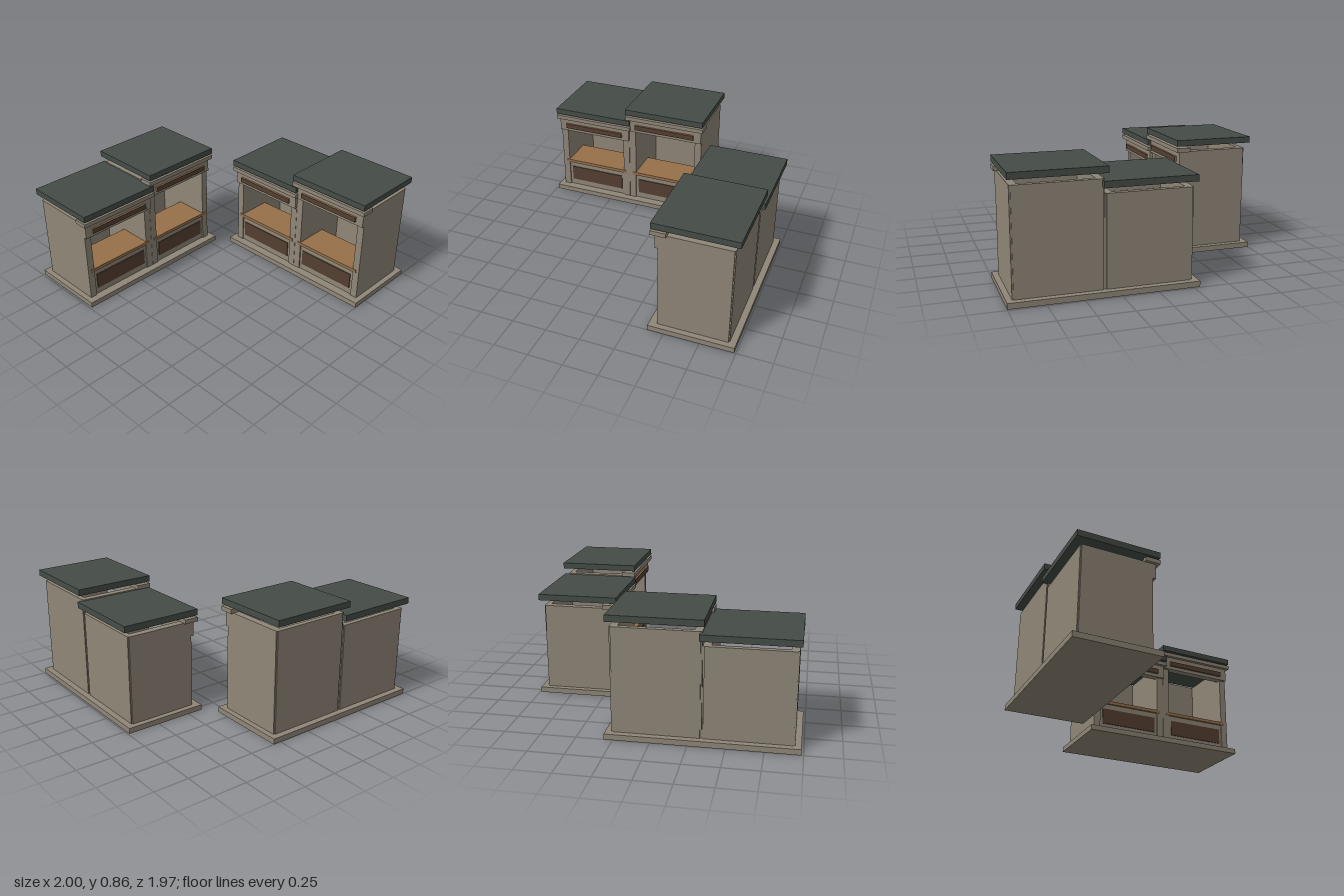
import * as THREE from 'three';

const mat = (name, color) => new THREE.MeshStandardMaterial({ name, color });

export function createModel() {
  const stone = mat('stone', 0x8f8677);
  const slate = mat('slate', 0x454c47);
  const brown = mat('darkBrown', 0x553f32);
  const wood = mat('wood', 0x96704a);

  // Box given by its limits on each axis
  function box(parent, name, material, [x0, x1], [y0, y1], [z0, z1]) {
    const mesh = new THREE.Mesh(new THREE.BoxGeometry(x1 - x0, y1 - y0, z1 - z0), material);
    mesh.position.set((x0 + x1) / 2, (y0 + y1) / 2, (z0 + z1) / 2);
    mesh.name = name;
    parent.add(mesh);
  }

  // One open-fronted stall, centred on x = 0, facing +z, with walls up to "top"
  function stall(name, top) {
    const g = new THREE.Group();
    g.name = name;
    const w = 0.303;

    // Walls
    for (const s of [-1, 1]) {
      const xs = [s * w, s * 0.25].sort((a, b) => a - b);
      box(g, 'sideWall', stone, xs, [0.04, top], [-0.25, 0.2475]);
    }
    box(g, 'backWall', stone, [-0.293, 0.293], [0.04, top], [-0.2575, -0.22]);

    // Counter with its front panel
    box(g, 'counterBase', stone, [-0.25, 0.25], [0.04, 0.255], [0.2, 0.237]);
    box(g, 'counterPanel', brown, [-0.228, 0.228], [0.09, 0.212], [0.237, 0.244]);
    box(g, 'counterTop', wood, [-0.278, 0.278], [0.255, 0.28], [-0.02, 0.252]);

    // Fascia, sign board and cornice
    box(g, 'fascia', stone, [-w, w], [top - 0.11, top], [0.21, 0.2675]);
    box(g, 'signBacking', wood, [-0.245, 0.245], [top - 0.083, top - 0.044], [0.2675, 0.279]);
    box(g, 'signFace', brown, [-0.245, 0.245], [top - 0.083, top - 0.044], [0.279, 0.2825]);
    box(g, 'cornice', stone, [-0.322, 0.322], [top - 0.003, top + 0.028], [0.1875, 0.2925]);

    // Flat roof slab raised just above the cornice
    box(g, 'roof', slate, [-0.32, 0.32], [top + 0.042, top + 0.087], [-0.2925, 0.2925]);
    return g;
  }

  // A low and a high stall side by side on a shared plinth
  function kiosk(name) {
    const g = new THREE.Group();
    g.name = name;
    box(g, 'plinth', stone, [-0.647, 0.647], [0, 0.04], [-0.3025, 0.3025]);
    const low = stall('lowStall', 0.678);
    low.position.x = -0.304;
    const high = stall('highStall', 0.774);
    high.position.x = 0.304;
    g.add(low, high);
    return g;
  }

  const model = new THREE.Group();
  model.name = 'marketKiosks';
  const rear = kiosk('rearKiosk');
  rear.position.set(0.353, 0, -0.6865);
  const side = kiosk('sideKiosk');
  side.position.set(-0.6975, 0, 0.338);
  side.rotation.y = Math.PI / 2;
  model.add(rear, side);
  return model;
}
